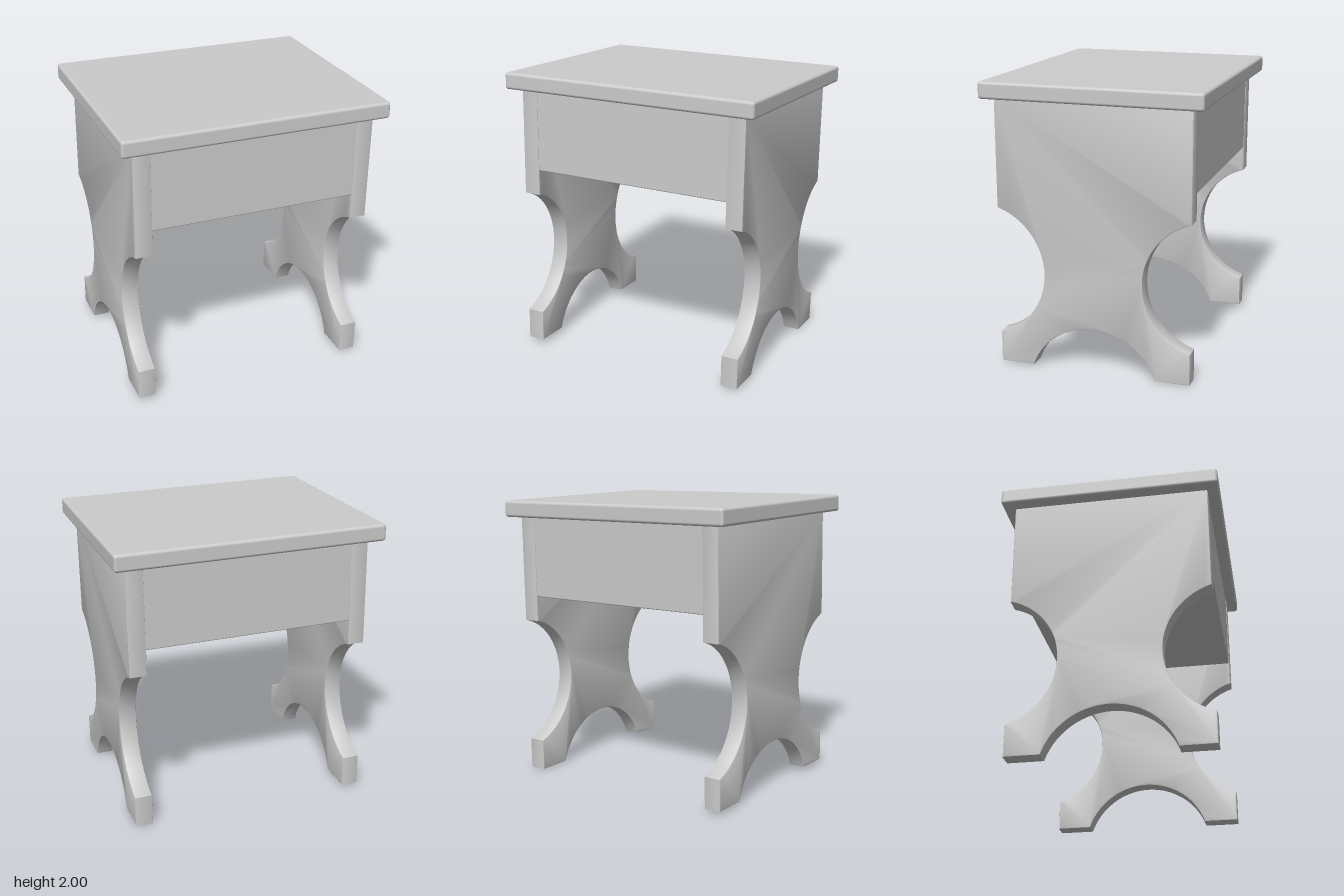
import * as THREE from 'three';
import { RoundedBoxGeometry } from 'three/addons/geometries/RoundedBoxGeometry.js';
import { toCreasedNormals } from 'three/addons/utils/BufferGeometryUtils.js';

const material = new THREE.MeshStandardMaterial({ color: 0xcccccc });

function addMesh(parent, name, geometry, x, y, z) {
  const mesh = new THREE.Mesh(geometry, material);
  mesh.name = name;
  mesh.position.set(x, y, z);
  parent.add(mesh);
  return mesh;
}

// Circular arc from a to b bulging by sagitta s to the left of a -> b
function arcPoints(ax, ay, bx, by, s, n = 28) {
  const half = Math.hypot(bx - ax, by - ay) / 2;
  const r = (half * half + s * s) / (2 * s);
  const ux = (bx - ax) / (2 * half), uy = (by - ay) / (2 * half);
  const cx = (ax + bx) / 2 + uy * (r - s), cy = (ay + by) / 2 - ux * (r - s);
  const sweep = Math.asin(half / r);
  const points = [];
  for (let i = 0; i <= n; i++) {
    const t = -sweep + (2 * sweep * i) / n;
    const along = r * Math.sin(t), out = r * Math.cos(t);
    points.push(new THREE.Vector2(cx + ux * along - uy * out, cy + uy * along + ux * out));
  }
  return points;
}

// Side board: square top, scooped waist and arched foot
function sideBoardGeometry(thickness) {
  const w = 0.675, top = 1.88, bottom = 0.016, bevel = 0.008;
  const outline = [
    ...arcPoints(-0.435, bottom, 0.435, bottom, 0.31),
    new THREE.Vector2(w, bottom),
    ...arcPoints(w, 0.235, w, 1.125, 0.33),
    new THREE.Vector2(w, top),
    new THREE.Vector2(-w, top),
    ...arcPoints(-w, 1.125, -w, 0.235, 0.33),
    new THREE.Vector2(-w, bottom),
  ];
  const geometry = new THREE.ExtrudeGeometry(new THREE.Shape(outline), {
    depth: thickness - 2 * bevel,
    bevelThickness: bevel, bevelSize: bevel, bevelOffset: -bevel, bevelSegments: 2,
  });
  geometry.translate(0, 0, -(thickness - 2 * bevel) / 2);
  geometry.rotateY(-Math.PI / 2);
  return toCreasedNormals(geometry, 0.5);
}

export function createModel() {
  const model = new THREE.Group();
  model.name = 'stool';

  // The whole stool leans very slightly
  const body = new THREE.Group();
  body.name = 'body';
  body.rotation.set(-0.006, 0, -0.014);
  model.add(body);

  // Overhanging seat top
  addMesh(body, 'seatTop', new RoundedBoxGeometry(1.85, 0.115, 1.51, 3, 0.02), -0.028, 1.925, 0.012);

  // Two matching side boards
  const board = sideBoardGeometry(0.122);
  addMesh(body, 'leftSideBoard', board, 0.755, 0, 0.015);
  addMesh(body, 'rightSideBoard', board, -0.803, 0, 0.015);

  // Closed storage box between the boards
  addMesh(body, 'storageBox', new RoundedBoxGeometry(1.53, 0.58, 1.34, 2, 0.008), -0.024, 1.59, 0.015);

  return model;
}
